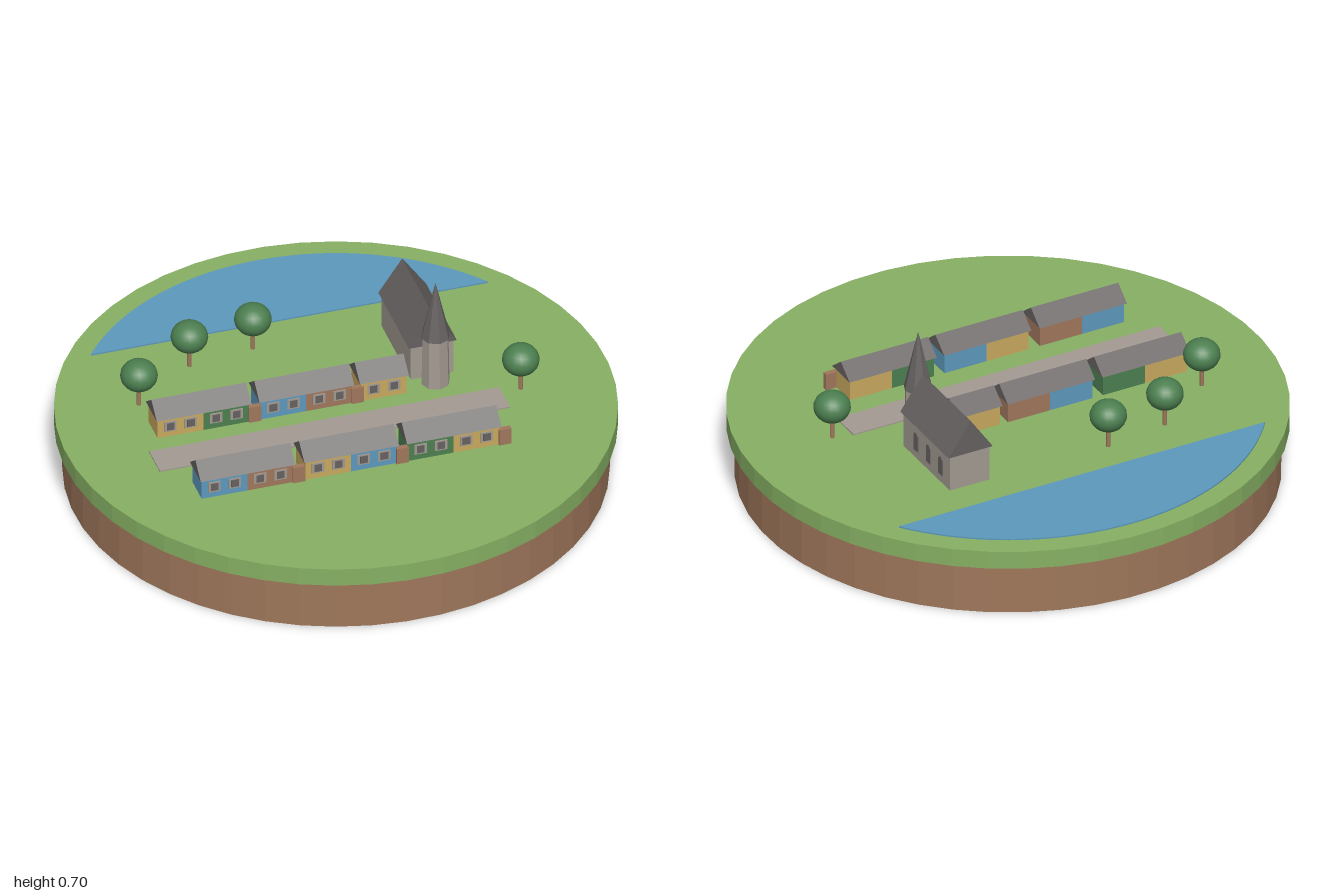
import * as THREE from 'three';

const flat = (name, color) => new THREE.MeshStandardMaterial({ name, color, flatShading: true });
const GROUND = 0.27;

export function createModel() {
  const model = new THREE.Group();
  model.name = 'villageIsland';

  const grass = flat('grass', 0x86b063);
  const earth = flat('earth', 0x9f775b);
  const blue = flat('blue', 0x5d99bd);
  const stone = flat('stone', 0xa39a92);
  const slate = flat('slate', 0x656160);
  const yellow = flat('yellow', 0xc8a85e);
  const green = flat('green', 0x4c7f50);
  const leaf = new THREE.MeshStandardMaterial({ name: 'leaf', color: 0x4c7f50 });

  function add(parent, name, geometry, material, x = 0, y = 0, z = 0) {
    const mesh = new THREE.Mesh(geometry, material);
    mesh.name = name;
    mesh.position.set(x, y, z);
    parent.add(mesh);
    return mesh;
  }
  const box = (w, h, d) => new THREE.BoxGeometry(w, h, d);

  // Triangular roof with its ridge along z, base at y = 0
  function gable(width, height, length) {
    const s = new THREE.Shape();
    s.moveTo(-width / 2, 0);
    s.lineTo(width / 2, 0);
    s.lineTo(0, height);
    s.closePath();
    return new THREE.ExtrudeGeometry(s, { depth: length, bevelEnabled: false })
      .translate(0, 0, -length / 2);
  }

  // Round island
  add(model, 'earthBase', new THREE.CylinderGeometry(0.97, 0.97, 0.2, 48), earth, 0, 0.1, 0);
  add(model, 'grassTop', new THREE.CylinderGeometry(1, 1, 0.07, 48), grass, 0, 0.235, 0);

  // Street, houses, church and lake share one turned frame
  const village = new THREE.Group();
  village.name = 'village';
  village.position.y = GROUND;
  village.rotation.y = -Math.PI / 9;
  model.add(village);

  add(village, 'street', box(1.3, 0.005, 0.125), stone, -0.067, 0.0025, 0.136);

  // Lake: a segment of a circle
  const shore = Math.asin(0.55 / 0.92);
  const lakeShape = new THREE.Shape();
  lakeShape.absarc(0, 0, 0.92, shore, Math.PI - shore, false);
  lakeShape.closePath();
  const lakeGeo = new THREE.ExtrudeGeometry(lakeShape, { depth: 0.006, bevelEnabled: false, curveSegments: 32 })
    .rotateX(-Math.PI / 2);
  add(village, 'lake', lakeGeo, blue);

  // Terrace: one roof over one or two houses
  function terrace(u, v, colours) {
    const g = new THREE.Group();
    g.name = 'terrace';
    g.position.set(u, 0, v);
    village.add(g);
    const n = colours.length;
    const unit = 0.17;
    colours.forEach((colour, i) => {
      const x = (i - (n - 1) / 2) * unit;
      add(g, 'houseWalls', box(unit, 0.08, 0.11), colour, x, 0.04, 0);
      for (const side of [-1, 1]) {
        add(g, 'windowFrame', box(0.046, 0.042, 0.004), stone, x + side * 0.038, 0.044, 0.056);
        add(g, 'windowPane', box(0.028, 0.03, 0.004), slate, x + side * 0.038, 0.044, 0.058);
      }
    });
    const roof = add(g, 'houseRoof', gable(0.13, 0.052, n * unit + 0.012), slate, 0, 0.08, 0);
    roof.rotation.y = Math.PI / 2;
    // Narrow gate at the end of each pair
    if (n > 1) add(g, 'gate', box(0.045, 0.065, 0.02), earth, 0.19, 0.0325, 0.053);
  }

  const frontRow = [[-0.455, [blue, earth]], [-0.07, [yellow, blue]], [0.311, [green, yellow]]];
  const backRow = [[-0.493, [yellow, green]], [-0.111, [blue, earth]], [0.177, [yellow]]];
  frontRow.forEach(([u, c]) => terrace(u, 0.344, c));
  backRow.forEach(([u, c]) => terrace(u, -0.054, c));

  // Church
  const church = new THREE.Group();
  church.name = 'church';
  church.position.x = 0.38;
  village.add(church);
  add(church, 'naveWalls', box(0.16, 0.14, 0.345), stone, 0, 0.07, -0.244);
  add(church, 'naveRoof', gable(0.178, 0.13, 0.36), slate, 0, 0.14, -0.244);
  add(church, 'tower', new THREE.CylinderGeometry(0.048, 0.052, 0.2, 8), stone, 0, 0.1, -0.033);
  add(church, 'spire', new THREE.ConeGeometry(0.053, 0.232, 8), slate, 0, 0.315, -0.033);

  // Arched church windows
  const arch = new THREE.Shape();
  arch.moveTo(-0.015, 0);
  arch.lineTo(0.015, 0);
  arch.lineTo(0.015, 0.058);
  arch.absarc(0, 0.058, 0.015, 0, Math.PI, false);
  arch.closePath();
  const archGeo = new THREE.ExtrudeGeometry(arch, { depth: 0.006, bevelEnabled: false, curveSegments: 6 })
    .rotateY(Math.PI / 2);
  for (const v of [-0.167, -0.258, -0.349]) add(church, 'archedWindow', archGeo, slate, 0.077, 0.032, v);

  // Trees
  const crownGeo = new THREE.SphereGeometry(0.067, 20, 14).scale(1, 0.87, 1);
  const trunkGeo = new THREE.CylinderGeometry(0.008, 0.008, 0.1, 8);
  for (const [x, z] of [[-0.55, -0.43], [-0.265, -0.508], [-0.022, -0.455], [0.582, 0.317]]) {
    const tree = new THREE.Group();
    tree.name = 'tree';
    tree.position.set(x, GROUND, z);
    model.add(tree);
    add(tree, 'trunk', trunkGeo, earth, 0, 0.05, 0);
    add(tree, 'crown', crownGeo, leaf, 0, 0.128, 0);
  }

  return model;
}
